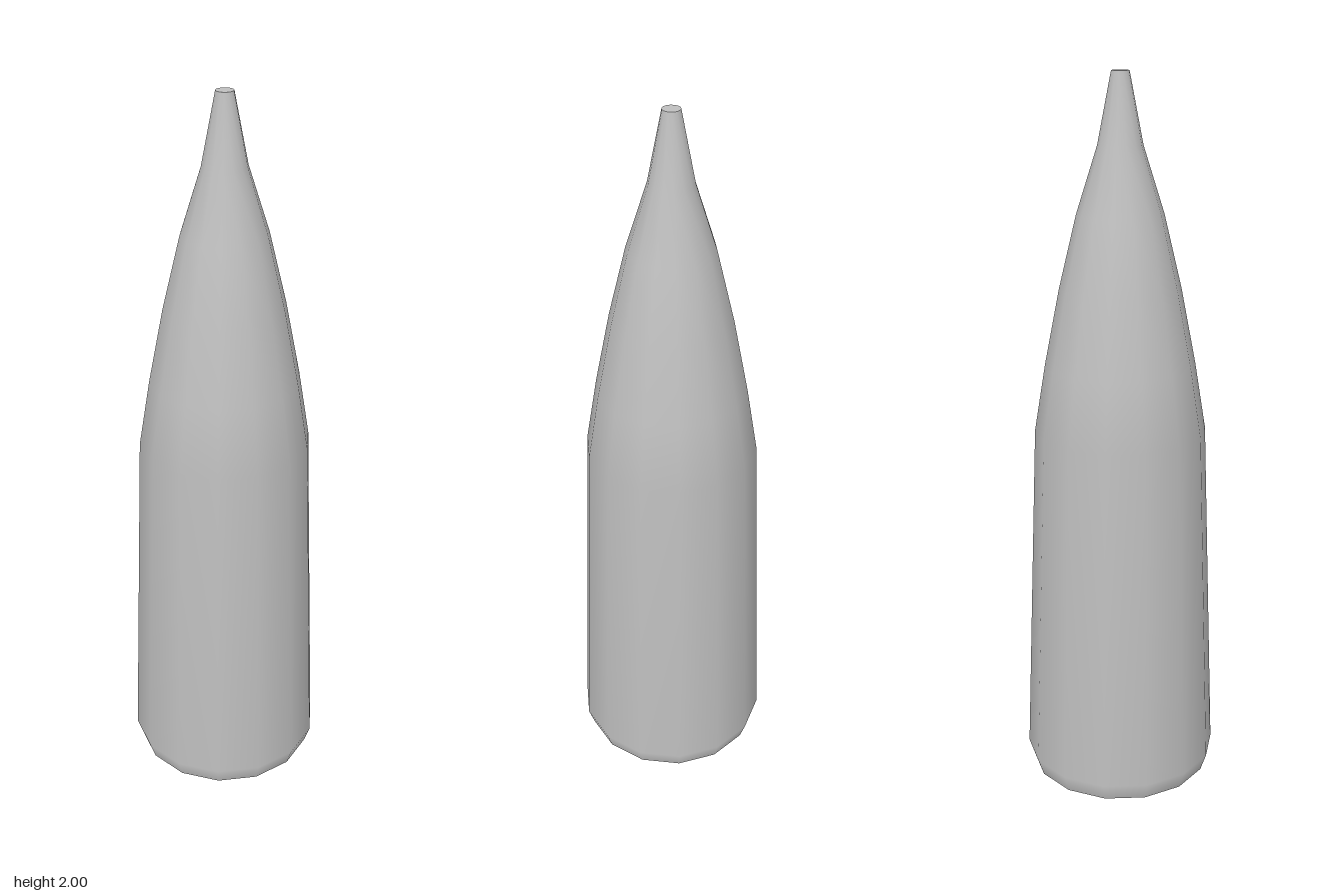
import * as THREE from 'three';

const SIDES = 14;

// Radius and height of the outer skin, from base to tip
const PROFILE = [
  [0.257, 0], [0.274, 0.05], [0.238, 1.03], [0.207, 1.22],
  [0.166, 1.43], [0.118, 1.63], [0.061, 1.81], [0.024, 2],
];

export function createModel() {
  const model = new THREE.Group();
  model.name = 'pointedShell';

  const grey = new THREE.MeshStandardMaterial({ color: 0xbfbfbf });
  grey.name = 'grey';

  const add = (name, geometry) => {
    const mesh = new THREE.Mesh(geometry, grey);
    mesh.name = name;
    model.add(mesh);
    return mesh;
  };

  // Tapered body and nose in one smooth skin
  add('body', new THREE.LatheGeometry(PROFILE.map(([r, y]) => new THREE.Vector2(r, y)), SIDES));

  // Flat end caps, with corners matching the skin
  const cap = (name, [radius, y], direction) => {
    const disc = new THREE.CircleGeometry(radius, SIDES, Math.PI / 2);
    disc.rotateX(-direction * Math.PI / 2);
    add(name, disc).position.y = y;
  };
  cap('baseCap', PROFILE[0], -1);
  cap('tipCap', PROFILE[PROFILE.length - 1], 1);

  return model;
}
